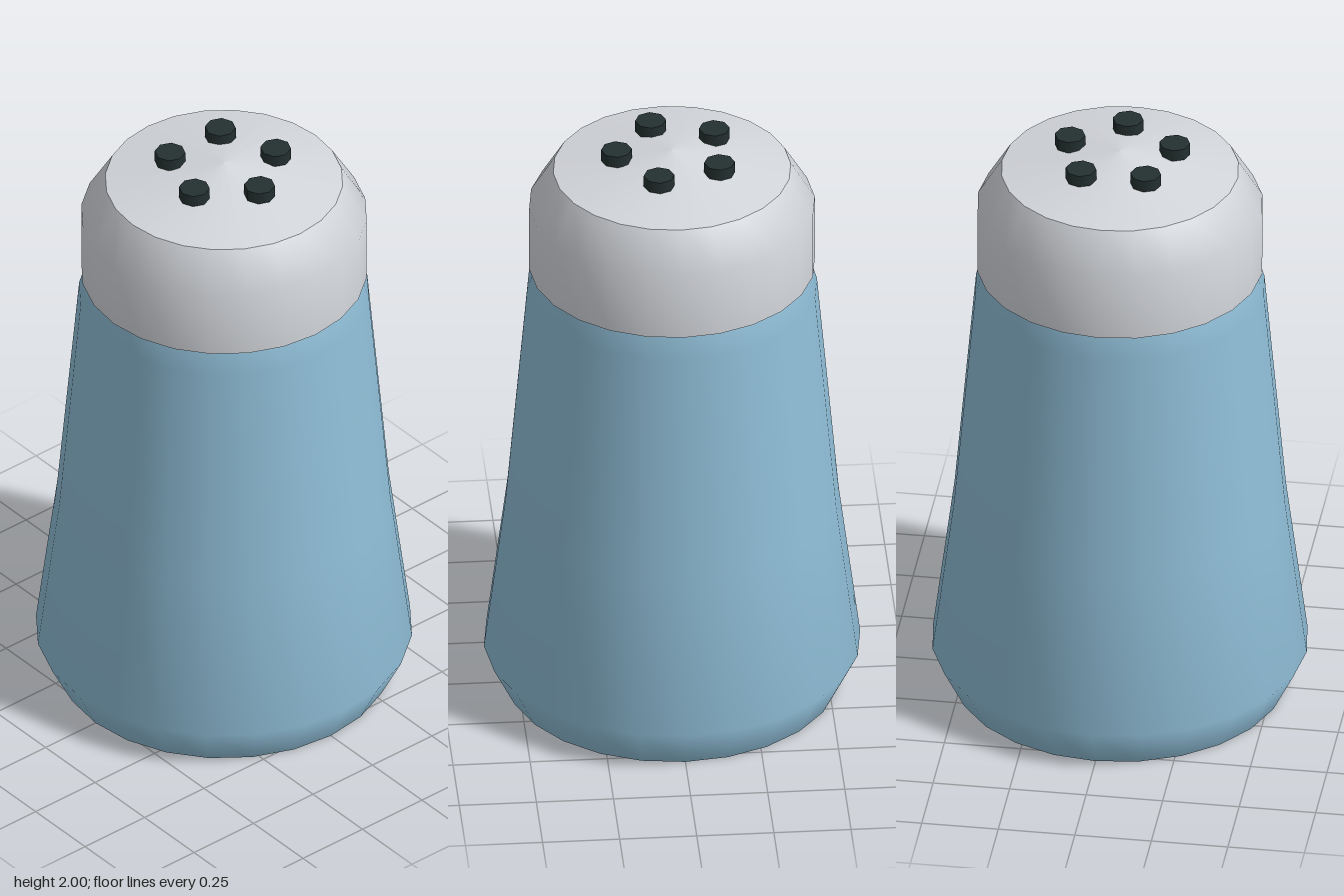
import * as THREE from 'three';

const material = (name, color) => {
  const m = new THREE.MeshStandardMaterial({ color });
  m.name = name;
  return m;
};

export function createModel() {
  const blue = material('blue body', 0x8ebcd5);
  const silver = material('pale grey cap', 0xd3d6db);
  const dark = material('dark holes', 0x243030);
  const group = new THREE.Group();
  group.name = 'shaker';

  // Turned parts: each profile runs bottom to top, separate profiles keep sharp edges
  const turned = (name, mat, profile) => {
    const points = profile.map(([r, y]) => new THREE.Vector2(r, y));
    const mesh = new THREE.Mesh(new THREE.LatheGeometry(points, 24), mat);
    mesh.name = name;
    group.add(mesh);
  };

  // Flared body and its flat base
  turned('base', blue, [[0, 0], [0.54, 0]]);
  turned('body', blue, [[0.54, 0], [0.61, 0.14], [0.54, 0.69], [0.47, 1.48], [0.44, 1.58]]);

  // Cap: underside rim, rounded wall and shallow cone on top
  turned('capUnderside', silver, [[0, 1.56], [0.463, 1.56]]);
  turned('capWall', silver, [[0.463, 1.56], [0.463, 1.79], [0.385, 1.92]]);
  turned('capTop', silver, [[0.385, 1.92], [0, 1.99]]);

  // Ring of five pouring holes, as short dark studs
  const holeShape = new THREE.CylinderGeometry(0.05, 0.05, 0.04, 8);
  for (let i = 0; i < 5; i++) {
    const a = (i / 5) * Math.PI * 2;
    const hole = new THREE.Mesh(holeShape, dark);
    hole.name = `hole${i + 1}`;
    hole.position.set(Math.cos(a) * 0.18, 1.98, Math.sin(a) * 0.18);
    group.add(hole);
  }
  return group;
}
